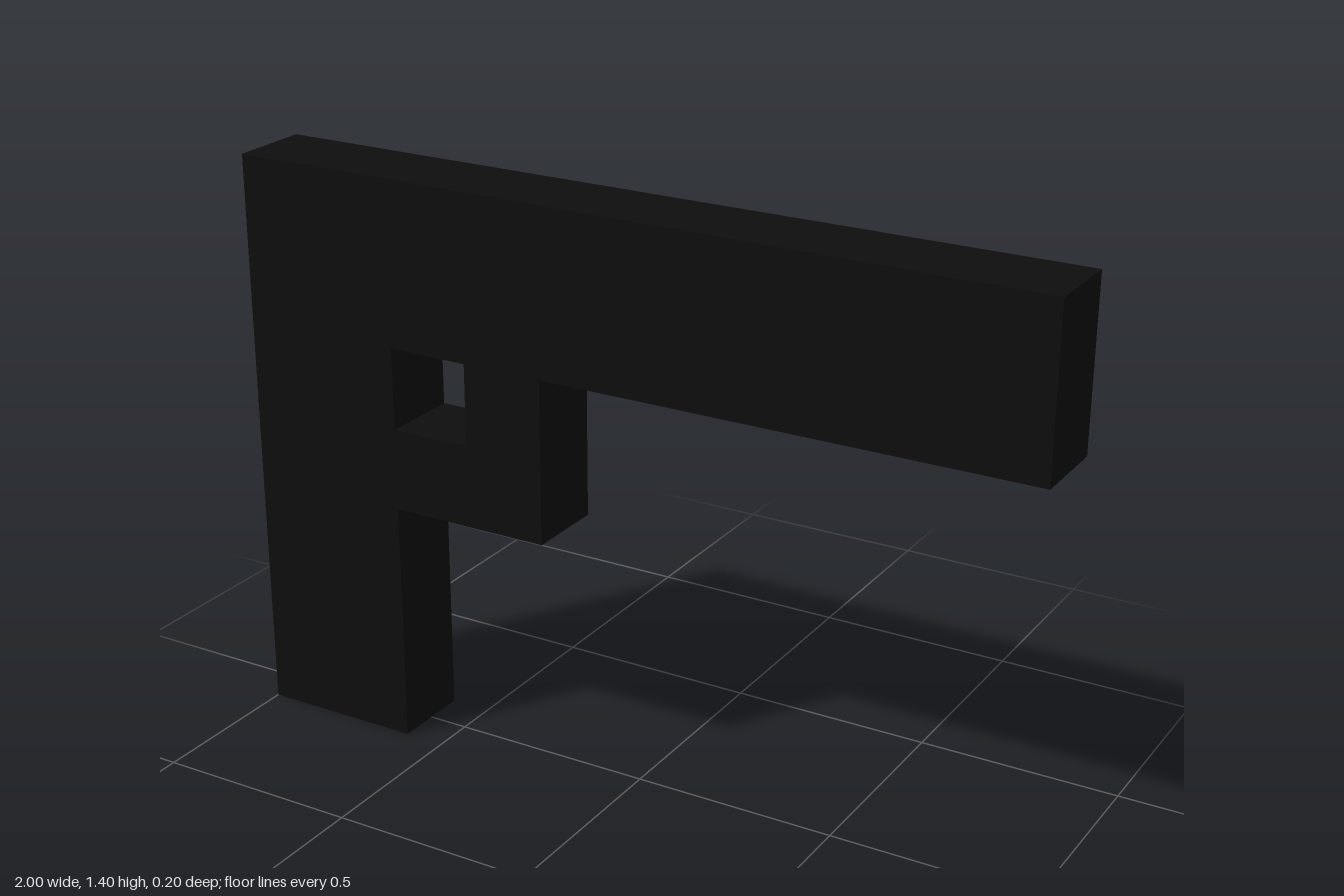
import * as THREE from 'three';

const DEPTH = 0.2;

export function createModel() {
  const model = new THREE.Group();
  model.name = 'blockPistol';

  const black = new THREE.MeshStandardMaterial({ color: 0x0d0d0d });
  black.name = 'black';

  // Adds a block spanning x0..x1 and y0..y1, centred on z = 0
  const addBlock = (name, x0, x1, y0, y1) => {
    const mesh = new THREE.Mesh(new THREE.BoxGeometry(x1 - x0, y1 - y0, DEPTH), black);
    mesh.position.set((x0 + x1) / 2, (y0 + y1) / 2, 0);
    mesh.name = name;
    model.add(mesh);
  };

  // Long top bar and the handle below its end
  addBlock('barrel', -1, 1, 1, 1.4);
  addBlock('grip', -1, -0.6, 0, 1);

  // L-shaped guard enclosing the square opening
  addBlock('guardBottom', -0.6, -0.2, 0.6, 0.8);
  addBlock('guardFront', -0.4, -0.2, 0.8, 1);

  return model;
}
